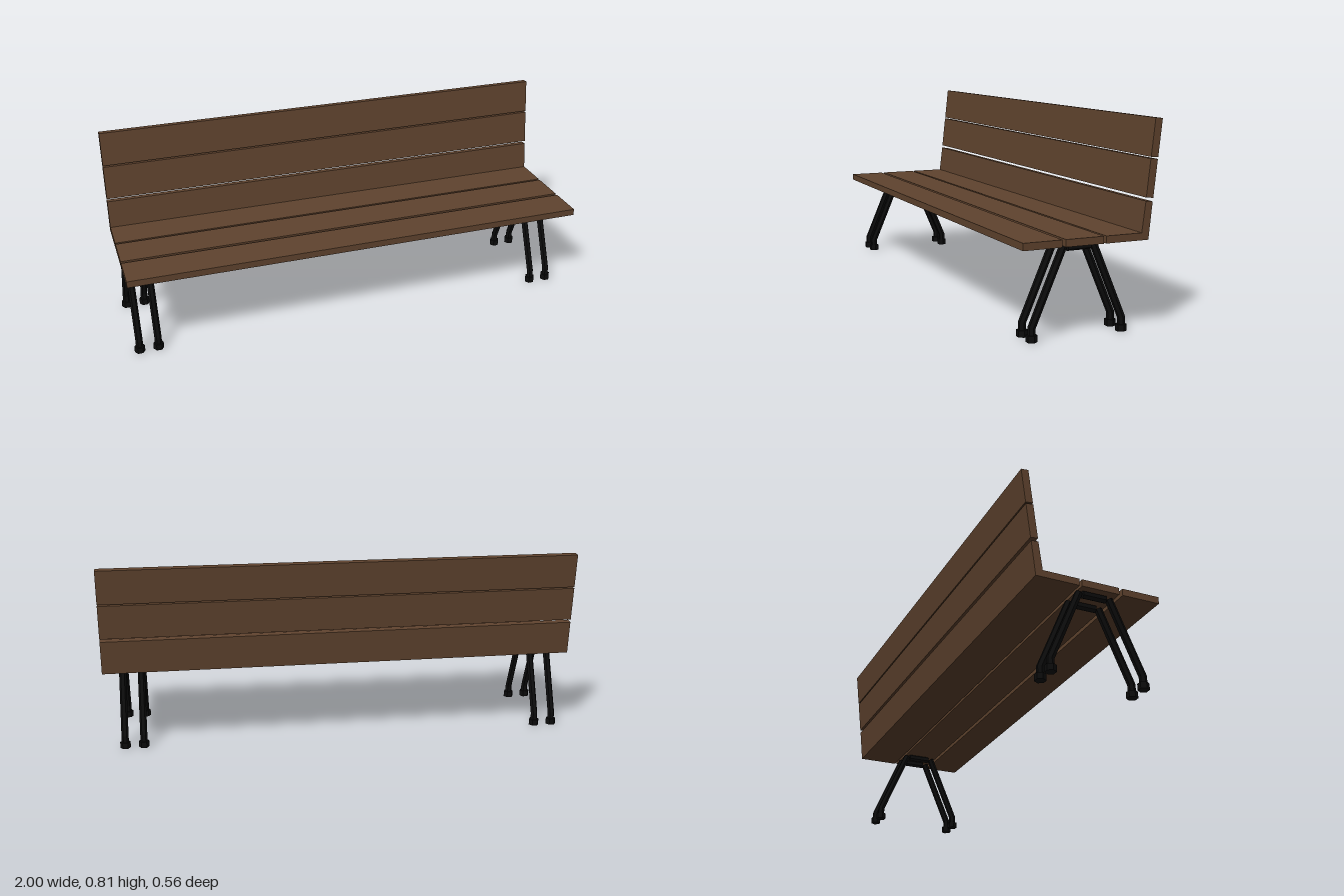
import * as THREE from 'three';

const wood = new THREE.MeshStandardMaterial({ color: 0x5f432e });
wood.name = 'brown wood';
const metal = new THREE.MeshStandardMaterial({ color: 0x0c0c0c });
metal.name = 'black metal';

function addMesh(parent, name, geometry, material) {
  const mesh = new THREE.Mesh(geometry, material);
  mesh.name = name;
  parent.add(mesh);
  return mesh;
}

// Full-length board from a side profile of [z, y] points
function boardGeometry(profile) {
  const shape = new THREE.Shape(profile.map(([z, y]) => new THREE.Vector2(z, y)));
  return new THREE.ExtrudeGeometry(shape, { depth: 2, bevelEnabled: false })
    .rotateY(-Math.PI / 2)
    .translate(1, 0, 0);
}

// Six-sided faceted rod, upright, with corners pointing along x
function hexRod(radius, length, rings = 1) {
  const g = new THREE.CylinderGeometry(radius, radius, length, 6, rings, false, Math.PI / 6).toNonIndexed();
  g.computeVertexNormals();
  return g;
}

// Bent leg: the rings of a rod are moved to the foot, the mitred bend and the tilted top
function legGeometry() {
  const rings = [
    { z: 0.188, y: 0.01, dz: 1, dy: 0 },
    { z: 0.188, y: 0.0535, dz: 1, dy: 0.207 },
    { z: 0.063, y: 0.344, dz: 0.918, dy: 0.396 },
  ];
  const g = hexRod(0.015, 2, 2);
  const p = g.attributes.position;
  for (let i = 0; i < p.count; i++) {
    const r = rings[Math.round(p.getY(i)) + 1];
    const offset = p.getZ(i);
    p.setXYZ(i, p.getX(i), r.y + offset * r.dy, r.z + offset * r.dz);
  }
  g.computeVertexNormals();
  return g;
}

export function createModel() {
  const bench = new THREE.Group();
  bench.name = 'bench';

  // Flat seat boards
  const low = 0.356, high = 0.384;
  [[0.283, 0.127], [0.113, -0.043]].forEach(([front, back], i) => {
    addMesh(bench, `seatBoard${i + 1}`,
      boardGeometry([[front, low], [front, high], [back, high], [back, low]]), wood);
  });

  // Rear seat board joined to the lowest back board
  addMesh(bench, 'seatAndBackBoard', boardGeometry([
    [-0.053, low], [-0.053, high], [-0.202, high],
    [-0.217, 0.501], [-0.246, 0.498], [-0.231, low],
  ]), wood);

  // Leaning back boards
  [[-0.218, 0.514], [-0.235, 0.663]].forEach(([z, y], i) => {
    addMesh(bench, `backBoard${i + 1}`, boardGeometry([
      [z, y], [z - 0.016, y + 0.143], [z - 0.046, y + 0.14], [z - 0.03, y - 0.003],
    ]), wood);
  });

  // Four bent frames, two at each end
  const leg = legGeometry();
  const foot = hexRod(0.022, 0.026);
  const bar = hexRod(0.0155, 0.097).rotateY(Math.PI / 2).rotateX(Math.PI / 2).rotateZ(0);
  [-0.968, -0.889, 0.847, 0.926].forEach((x, i) => {
    const frame = new THREE.Group();
    frame.name = `legFrame${i + 1}`;
    frame.position.set(x, 0, 0.022);
    for (const side of ['front', 'rear']) {
      const half = new THREE.Group();
      half.name = `${side}Leg`;
      if (side === 'rear') half.rotation.y = Math.PI;
      addMesh(half, 'legTube', leg, metal);
      addMesh(half, 'foot', foot, metal).position.set(0, 0.013, 0.188);
      frame.add(half);
    }
    addMesh(frame, 'topBar', bar, metal).position.y = 0.3405;
    bench.add(frame);
  });

  return bench;
}
